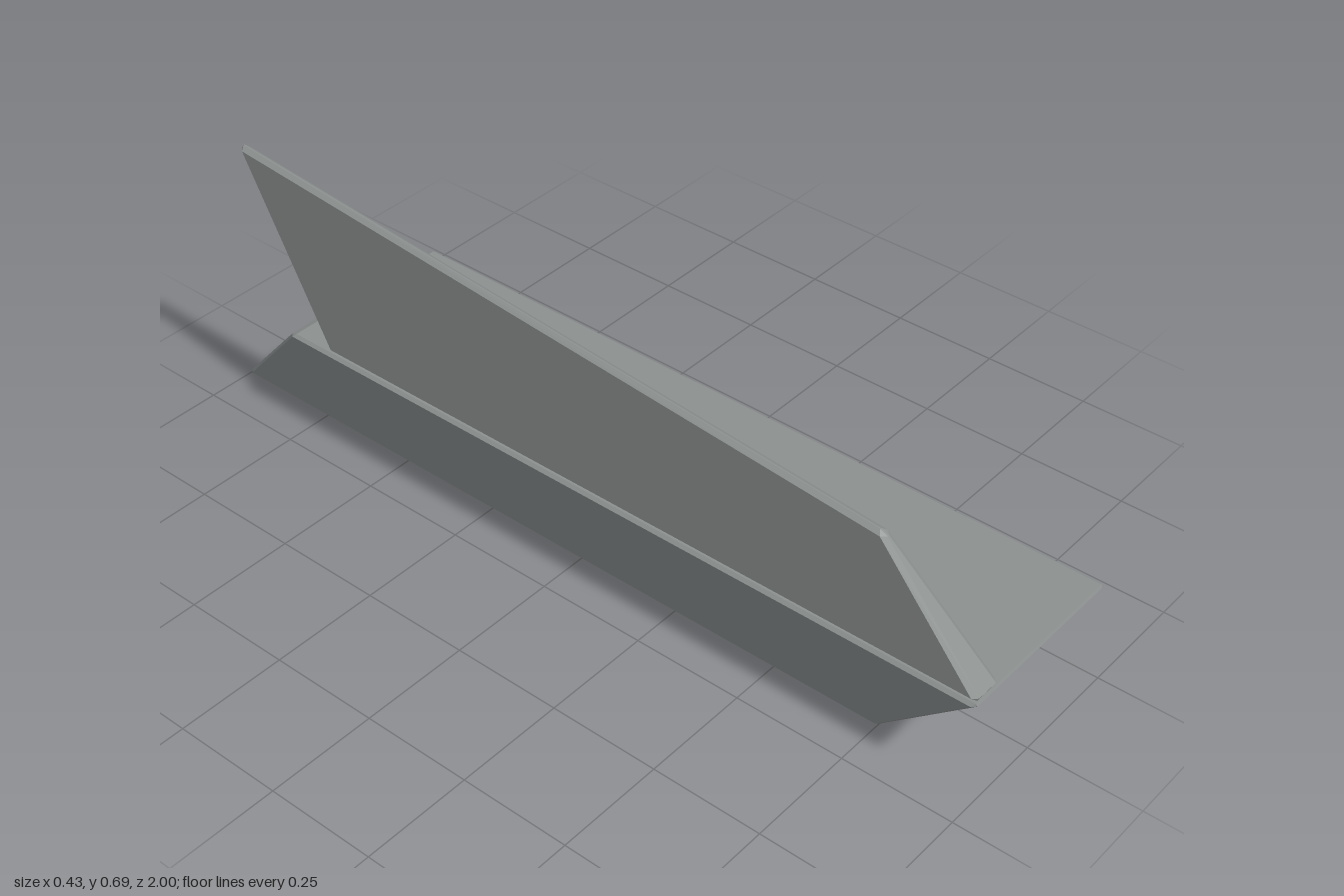
import * as THREE from 'three';
import { ConvexGeometry } from 'three/addons/geometries/ConvexGeometry.js';

// Six-sided block with chamfered edges. corner(i, j, k) gives the sharp corner
// for i = right/left, j = bottom/top, k = back/front (each 0 or 1).
function chamferedBlock(corner, d) {
  const points = [];
  for (let n = 0; n < 8; n++) {
    const id = [n & 1, (n >> 1) & 1, (n >> 2) & 1];
    const v = new THREE.Vector3(...corner(...id));
    const edges = [0, 1, 2].map((axis) => {
      const other = id.map((b, a) => (a === axis ? 1 - b : b));
      return new THREE.Vector3(...corner(...other)).sub(v).normalize();
    });
    // One point on each of the three faces that meet here
    for (let axis = 0; axis < 3; axis++) {
      const p = v.clone();
      edges.forEach((e, a) => { if (a !== axis) p.addScaledVector(e, d); });
      points.push(p);
    }
  }
  return new ConvexGeometry(points);
}

export function createModel() {
  const group = new THREE.Group();
  const grey = new THREE.MeshStandardMaterial({ color: 0x8c9190 });
  grey.name = 'grey';

  const add = (name, corner, d) => {
    const mesh = new THREE.Mesh(chamferedBlock(corner, d), grey);
    mesh.name = name;
    group.add(mesh);
  };

  // Slanted trough-shaped body, wider at the top and sheared forward
  add('body', (i, j, k) => [
    (i ? 1 : -1) * (j ? 0.219 : 0.138),
    j ? 0.267 : 0,
    k ? (j ? 1.006 : 0.75) : (j ? -0.75 : -1.006),
  ], 0.009);

  // Upright tapering fin along the right edge, rising toward the back
  add('fin', (i, j, k) => [
    i ? (j ? -0.192 : -0.14) : -0.215,
    j ? (k ? 0.54 : 0.69) : 0.27,
    k ? (j ? 0.775 : 1.006) : (j ? -0.865 : -0.635),
  ], 0.01);

  return group;
}
